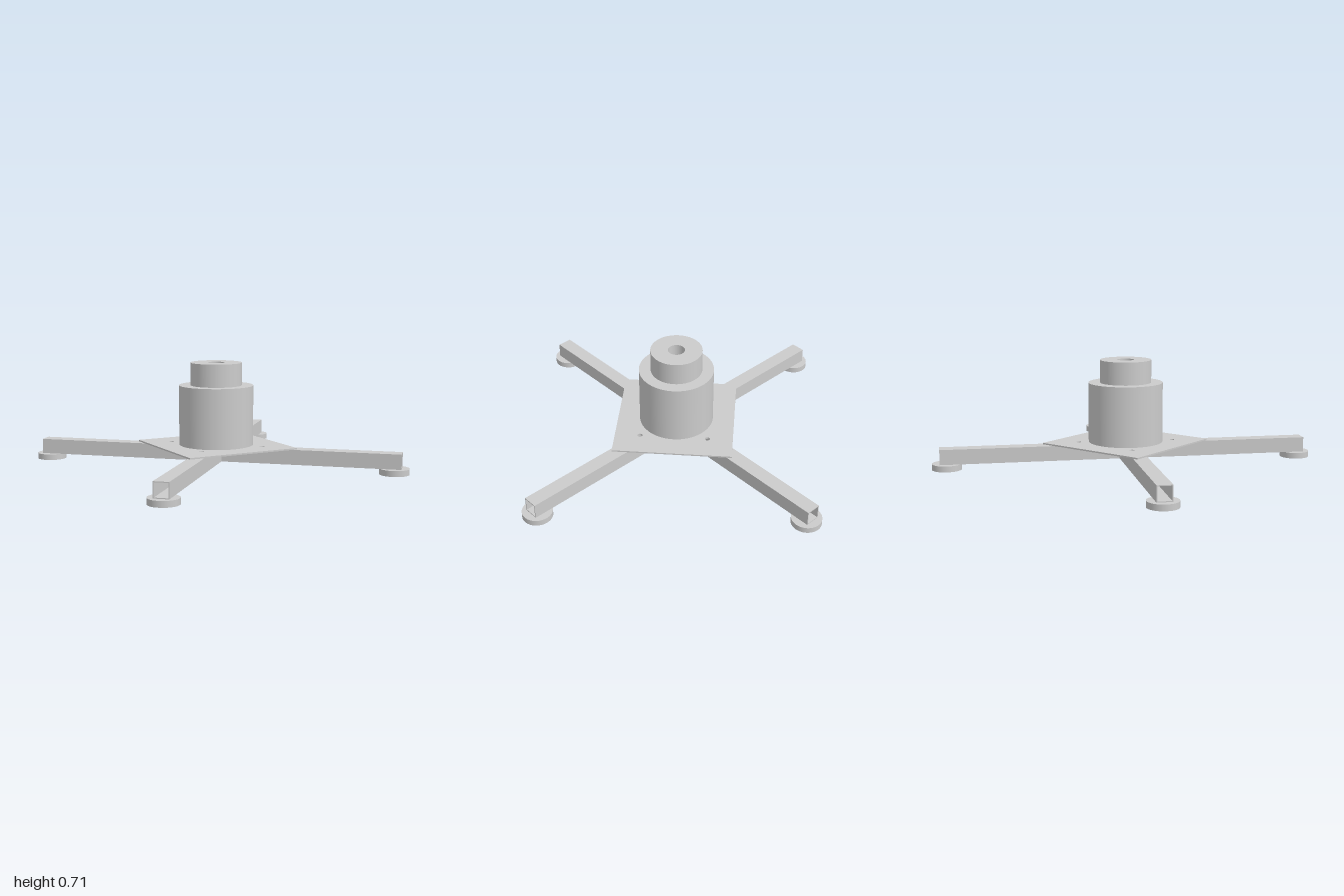
import * as THREE from 'three';

const material = new THREE.MeshStandardMaterial({ color: 0xcccccc });
const ANGLE = THREE.MathUtils.degToRad(42.35); // direction of the first beam
const HOLE = 0.23, HOLE_R = 0.017;

function add(parent, name, geometry, x = 0, y = 0, z = 0) {
  const mesh = new THREE.Mesh(geometry, material);
  mesh.name = name;
  mesh.position.set(x, y, z);
  parent.add(mesh);
  return mesh;
}

// Flat horizontal sheet with round holes; its top lies at y = 0
function sheet(width, depth, thickness, holes) {
  const w = width / 2, d = depth / 2;
  const shape = new THREE.Shape([[-w, -d], [w, -d], [w, d], [-w, d]].map(p => new THREE.Vector2(...p)));
  for (const [x, z] of holes) {
    shape.holes.push(new THREE.Path().absarc(x, z, HOLE_R, 0, Math.PI * 2, true));
  }
  return new THREE.ExtrudeGeometry(shape, { depth: thickness, bevelEnabled: false, curveSegments: 20 })
    .rotateX(Math.PI / 2);
}

// Open-ended square tube, drilled where the plate bolts pass through
function createBeam() {
  const beam = new THREE.Group();
  const length = 2.534, width = 0.1, bottom = 0.04, top = 0.142, wall = 0.006;
  const along = HOLE * (Math.cos(ANGLE) + Math.sin(ANGLE));
  const across = HOLE * (Math.cos(ANGLE) - Math.sin(ANGLE));
  const holes = [[along, across], [-along, -across]];
  add(beam, 'beamTop', sheet(length, width, wall, holes), 0, top, 0);
  add(beam, 'beamBottom', sheet(length, width, wall, holes), 0, bottom + wall, 0);
  const side = new THREE.BoxGeometry(length, top - bottom - 2 * wall, wall);
  for (const s of [-1, 1]) {
    add(beam, 'beamSide', side, 0, (top + bottom) / 2, s * (width - wall) / 2);
  }
  // Disc feet under both ends
  for (const s of [-1, 1]) {
    add(beam, 'foot', new THREE.CylinderGeometry(0.1, 0.1, 0.04, 64), s * 1.218, 0.02, 0);
  }
  return beam;
}

export function createModel() {
  const model = new THREE.Group();
  model.name = 'crossBaseStand';

  // Two beams crossing at right angles
  for (let i = 0; i < 2; i++) {
    const beam = createBeam();
    beam.name = 'crossBeam';
    beam.rotation.y = -ANGLE - i * Math.PI / 2;
    model.add(beam);
  }

  // Square mounting plate with four bolt holes
  const corners = [[1, 1], [-1, 1], [-1, -1], [1, -1]].map(([x, z]) => [x * HOLE, z * HOLE]);
  add(model, 'mountingPlate', sheet(0.806, 0.806, 0.01, corners), 0, 0.152, 0);

  // Hub drum
  add(model, 'hub', new THREE.CylinderGeometry(0.254, 0.254, 0.41, 64), 0, 0.355, 0);

  // Collar with a central bore
  const ring = new THREE.Shape().absarc(0, 0, 0.175, 0, Math.PI * 2, false);
  ring.holes.push(new THREE.Path().absarc(0, 0, 0.057, 0, Math.PI * 2, true));
  const collar = new THREE.ExtrudeGeometry(ring, { depth: 0.155, bevelEnabled: false, curveSegments: 64 });
  add(model, 'collar', collar.rotateX(Math.PI / 2), 0, 0.715, 0);

  return model;
}
